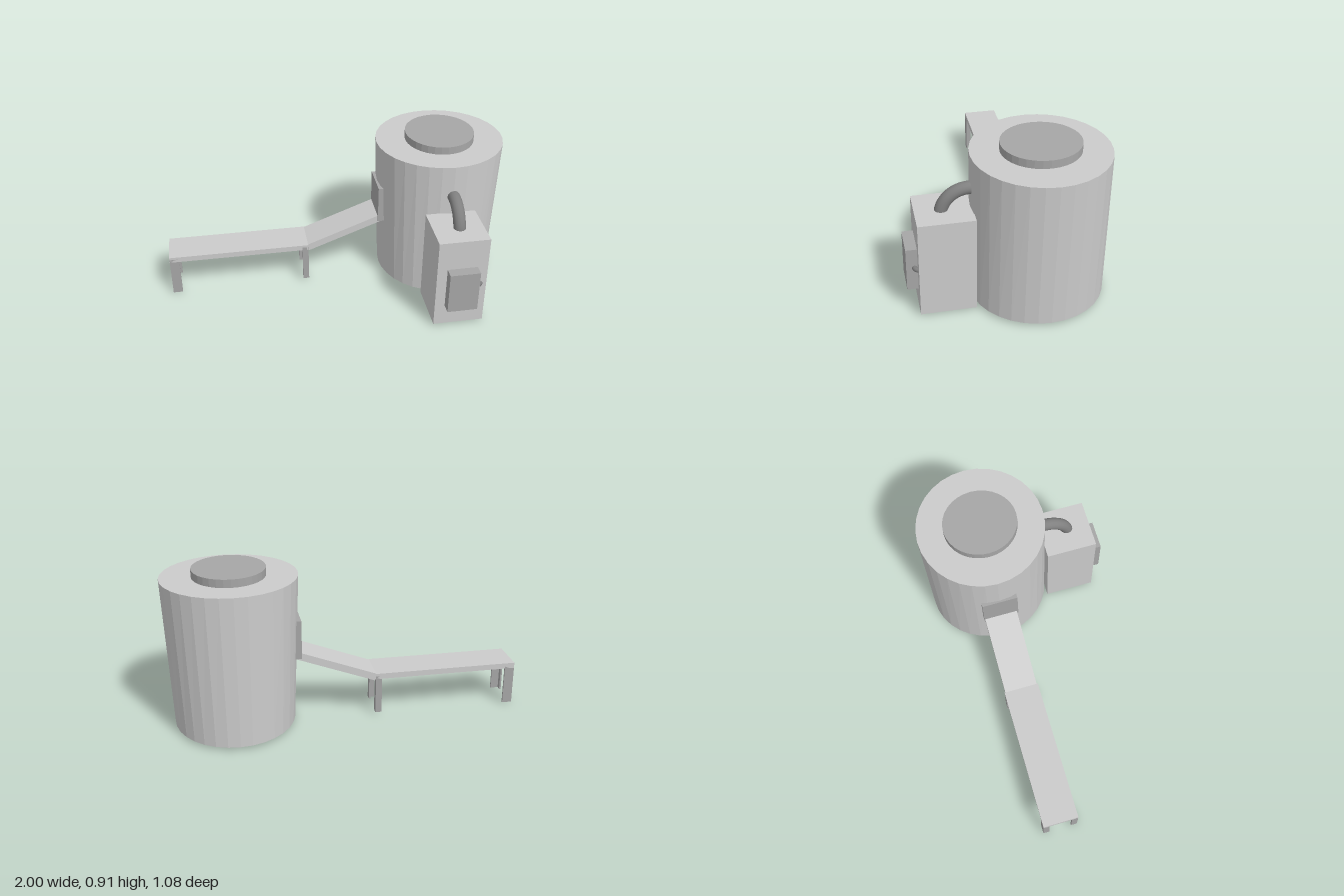
import * as THREE from 'three';

const mat = (color) => new THREE.MeshStandardMaterial({ color, flatShading: true, side: THREE.DoubleSide });
const light = mat(0xcccccc);
const mid = mat(0xa6a6a6);
const pipeMat = new THREE.MeshStandardMaterial({ color: 0x808080 });

export function createModel() {
  const model = new THREE.Group();

  const add = (name, geometry, material, parent = model) => {
    const mesh = new THREE.Mesh(geometry, material);
    mesh.name = name;
    parent.add(mesh);
    return mesh;
  };
  // Box given by its extents on each axis
  const box = (name, [x0, x1], [y0, y1], [z0, z1], material, parent) => {
    const mesh = add(name, new THREE.BoxGeometry(x1 - x0, y1 - y0, z1 - z0), material, parent);
    mesh.position.set((x0 + x1) / 2, (y0 + y1) / 2, (z0 + z1) / 2);
    return mesh;
  };

  // Tank: oval drum that tapers only sideways
  const tankX = 0.627, tankZ = -0.175, tankH = 0.85;
  const tankGeo = new THREE.CylinderGeometry(1, 1, tankH, 32);
  const p = tankGeo.attributes.position;
  for (let i = 0; i < p.count; i++) {
    const t = p.getY(i) / tankH + 0.5;
    p.setX(i, p.getX(i) * THREE.MathUtils.lerp(0.34, 0.373, t));
    p.setZ(i, p.getZ(i) * 0.365);
  }
  tankGeo.computeVertexNormals();
  add('tank', tankGeo, light).position.set(tankX, 0.015 + tankH / 2, tankZ);

  // Lid
  const lid = add('lid', new THREE.CylinderGeometry(1, 1, 0.045, 32), mid);
  lid.scale.set(0.201, 1, 0.211);
  lid.position.set(tankX, 0.8875, tankZ);

  // Furnace with door
  box('furnace', [0.475, 0.765], [0.01, 0.567], [0.18, 0.48], light);
  box('furnaceDoor', [0.533, 0.706], [0.138, 0.389], [0.478, 0.54], mid);

  // Door handle: small elbow from the door's side to the furnace front
  const handle = add('doorHandle', new THREE.TorusGeometry(0.025, 0.0135, 10, 10, Math.PI / 2), pipeMat);
  handle.rotation.x = Math.PI / 2;
  handle.position.set(0.705, 0.276, 0.472);

  // Flue elbow from furnace top into the tank
  const flue = add('fluePipe', new THREE.TorusGeometry(0.15, 0.035, 16, 20, Math.PI / 2 + 0.25), pipeMat);
  flue.rotation.y = -Math.PI / 2;
  flue.position.set(tankX, 0.53, 0.195);

  // Hatch where the chute meets the tank
  box('tankHatch', [0.253, 0.33], [0.385, 0.61], [-0.28, -0.07], mid);

  // Sloping chute
  const side = new THREE.Shape([
    [-0.185, 0.25], [-0.165, 0.213], [0.287, 0.384], [0.272, 0.424],
  ].map(([x, y]) => new THREE.Vector2(x, y)));
  const chute = new THREE.ExtrudeGeometry(side, { depth: 0.195, bevelEnabled: false });
  add('chute', chute, light).position.z = -0.275;

  // Level bench: thin top with a rim round its hollow underside
  const bench = new THREE.Group();
  bench.name = 'bench';
  model.add(bench);
  const bx = [-1, -0.17], z0 = -0.28, z1 = -0.073, t = 0.01;
  box('benchTop', bx, [0.245, 0.255], [z0, z1], light, bench);
  for (const z of [z0, z1 - t]) box('benchSideRim', bx, [0.222, 0.247], [z, z + t], light, bench);
  for (const x of [bx[0], bx[1] - t]) box('benchEndRim', [x, x + t], [0.222, 0.247], [z0, z1], light, bench);

  // Angle-iron legs, one flange along the side and one across the end
  const leg = (outerX, dir, width, foot) => {
    const span = (w) => [outerX, outerX + dir * w].sort((a, b) => a - b);
    for (const [z, s] of [[z0, 1], [z1, -1]]) {
      const zSpan = (w) => [z, z + s * w].sort((a, b) => a - b);
      const y = [foot, 0.24];
      box('legSideFlange', span(width), y, zSpan(0.01), mid, bench);
      box('legEndFlange', span(0.01), y, zSpan(0.036), mid, bench);
    }
  };
  leg(-1, 1, 0.056, 0);
  leg(-0.17, -1, 0.036, 0.01);

  return model;
}
